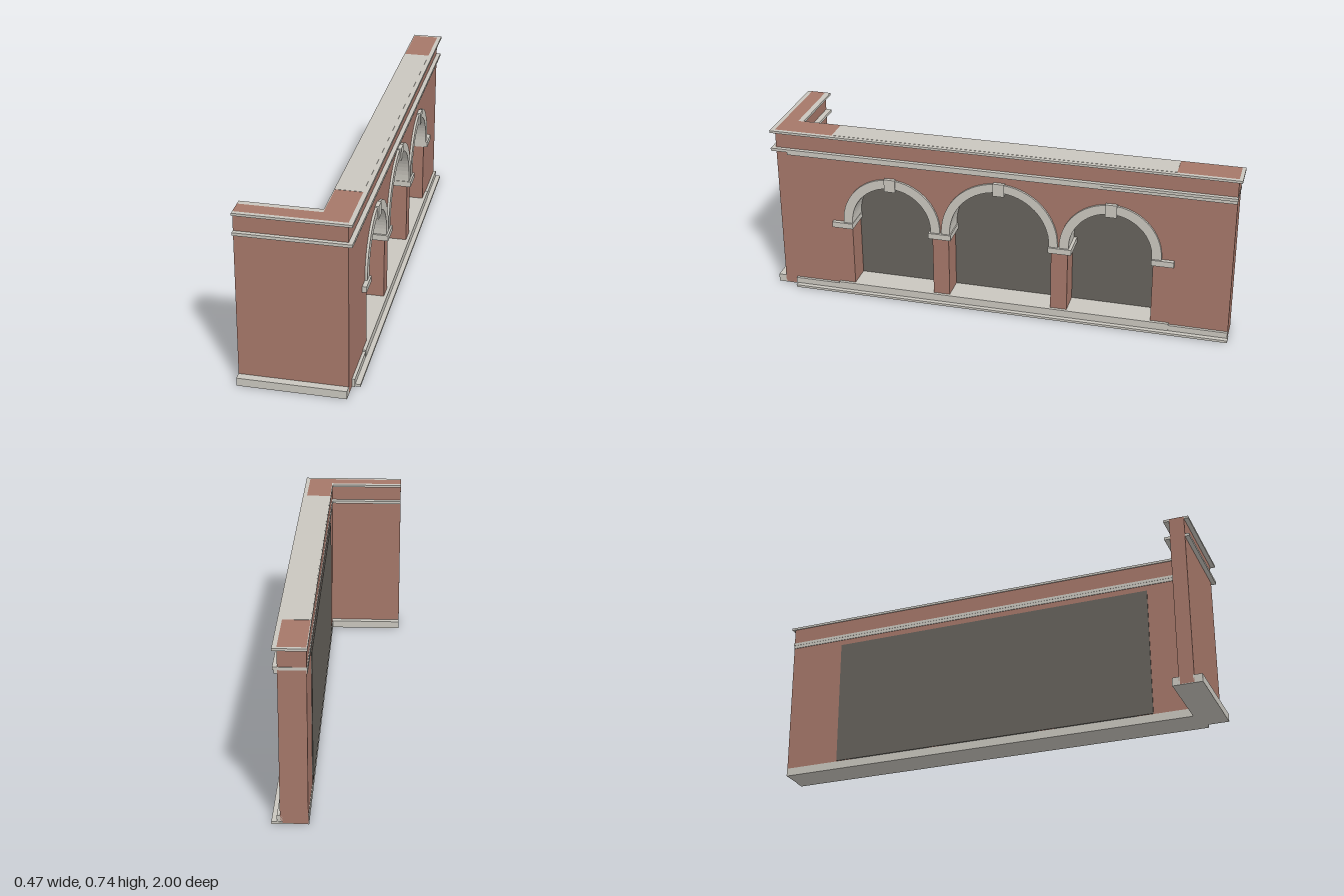
import * as THREE from 'three';

export function createModel() {
  const group = new THREE.Group();
  const material = (name, color) => {
    const m = new THREE.MeshStandardMaterial({ color });
    m.name = name;
    return m;
  };
  const brick = material('brick', 0xa57769);
  const stone = material('paleStone', 0xc9c6be);
  const dark = material('darkPanel', 0x66625c);

  const add = (name, geometry, mat) => {
    const mesh = new THREE.Mesh(geometry, mat);
    mesh.name = name;
    group.add(mesh);
    return mesh;
  };
  // Box given by its limits on each axis
  const box = (name, mat, x0, x1, y0, y1, z0, z1) => {
    const g = new THREE.BoxGeometry(x1 - x0, y1 - y0, z1 - z0);
    g.translate((x0 + x1) / 2, (y0 + y1) / 2, (z0 + z1) / 2);
    return add(name, g, mat);
  };
  // Outline drawn in (-z, y), extruded along x
  const extrudeX = (name, mat, shape, x0, x1) => {
    const g = new THREE.ExtrudeGeometry(shape, { depth: x1 - x0, bevelEnabled: false, curveSegments: 16 });
    g.rotateY(Math.PI / 2);
    g.translate(x0, 0, 0);
    return add(name, g, mat);
  };

  const BACK = 0.092, FACE = 0.2, TOP = 0.737, SPRING = 0.348;
  const END = -0.985, MID0 = -0.738, MID1 = 0.713;
  const RET0 = 0.905, RET1 = 0.967, LEFT = -0.235;
  const arches = [
    { z: 0.463, half: 0.179, inner: 0.174, outer: 0.214 },
    { z: -0.009, half: 0.222, inner: 0.214, outer: 0.251 },
    { z: -0.481, half: 0.179, inner: 0.174, outer: 0.214 },
  ];

  // Long wall with three arched openings
  const wall = new THREE.Shape();
  wall.moveTo(-RET0, 0.003);
  wall.lineTo(-END, 0.003);
  wall.lineTo(-END, TOP);
  wall.lineTo(-RET0, TOP);
  wall.closePath();
  for (const a of arches) {
    const hole = new THREE.Path();
    hole.moveTo(-a.z - a.half, 0.02);
    hole.lineTo(-a.z + a.half, 0.02);
    hole.lineTo(-a.z + a.half, SPRING);
    hole.absarc(-a.z, SPRING, a.half, 0, Math.PI, false);
    hole.closePath();
    wall.holes.push(hole);
  }
  extrudeX('archedWall', brick, wall, BACK, FACE);
  box('returnWall', brick, LEFT, FACE, 0.003, TOP, RET0, RET1);

  // Stone arch rings and keystones
  for (const a of arches) {
    const ring = new THREE.Shape();
    const foot = 0.33;
    ring.moveTo(-a.z + a.outer, foot);
    ring.lineTo(-a.z + a.outer, SPRING);
    ring.absarc(-a.z, SPRING, a.outer, 0, Math.PI, false);
    ring.lineTo(-a.z - a.outer, foot);
    ring.lineTo(-a.z - a.inner, foot);
    ring.lineTo(-a.z - a.inner, SPRING);
    ring.absarc(-a.z, SPRING, a.inner, Math.PI, 0, true);
    ring.lineTo(-a.z + a.inner, foot);
    ring.closePath();
    extrudeX('archRing', stone, ring, BACK + 0.002, 0.21);
    const top = SPRING + a.outer + 0.004;
    box('keystone', stone, 0.19, 0.216, top - 0.056, top, a.z - 0.024, a.z + 0.024);
  }

  // Imposts on the piers, running back along the jambs
  for (const [z0, z1] of [[0.635, 0.727], [0.2, 0.298], [-0.32, -0.22], [-0.748, -0.655]]) {
    box('impost', stone, BACK + 0.002, 0.218, 0.313, 0.338, z0, z1);
  }

  // Dark panel closing the openings at the back
  box('backPanel', dark, 0.088, 0.096, 0.038, 0.605, MID0, MID1);
  box('wallTopPlate', stone, BACK, FACE, TOP - 0.004, TOP + 0.001, MID0, MID1);

  // Base of the long wall
  box('sill', stone, BACK + 0.002, 0.213, 0, 0.042, MID0, MID1);
  box('plinth', stone, FACE - 0.01, 0.212, 0, 0.035, END, 0.913);
  box('baseStep', stone, FACE - 0.01, 0.233, 0, 0.01, END - 0.003, 0.907);
  box('backPlinth', stone, 0.089, 0.1, 0, 0.035, END, RET0);
  box('wallUnderside', stone, BACK, FACE, 0, 0.003, END, RET0);

  // Base of the return wall
  box('returnFrontPlinth', stone, LEFT, FACE, 0, 0.034, RET1 - 0.005, 1.0);
  box('returnBackPlinth', stone, LEFT, BACK, 0, 0.034, 0.878, RET0 + 0.005);
  box('returnUnderside', stone, LEFT, FACE, 0, 0.003, RET0, RET1);

  // Top capping and cornice bands; out = projection from the wall faces
  const bands = [
    { name: 'capping', y0: 0.727, y1: TOP, out: 0.018, end: -1.0 },
    { name: 'cornice', y0: 0.645, y1: 0.657, out: 0.018, end: END - 0.002 },
  ];
  for (const { name, y0, y1, out, end } of bands) {
    box(name, stone, FACE, FACE + out, y0, y1, end, RET1 + out);
    box(name + 'Back', stone, 0.088, BACK, y0, y1, end, RET0 - out);
    box(name + 'End', stone, BACK, FACE, y0, y1, end, END);
    box(name + 'ReturnFront', stone, LEFT, FACE, y0, y1, RET1, RET1 + out);
    box(name + 'ReturnBack', stone, LEFT, BACK, y0, y1, RET0 - out - 0.006, RET0);
  }
  box('lowerCornice', stone, FACE, 0.213, 0.631, 0.645, END, 0.915);
  box('lowerCorniceBack', stone, 0.089, BACK, 0.631, 0.645, END, RET0 - 0.018);

  return group;
}
